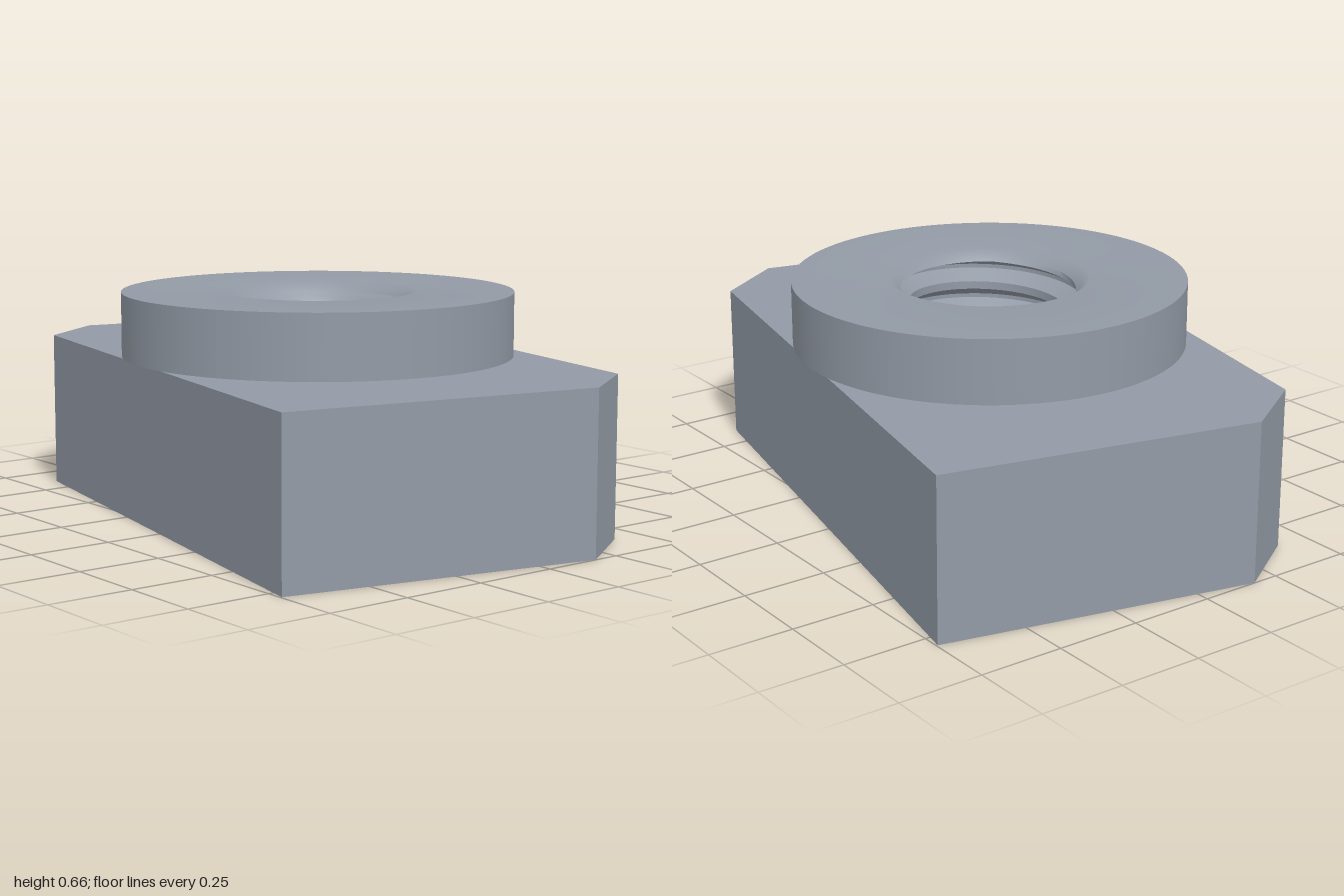
import * as THREE from 'three';
import { toCreasedNormals } from 'three/addons/utils/BufferGeometryUtils.js';

const BASE_H = 0.473, TOP = 0.663;          // plate height, overall height
const MINOR = 0.236, MAJOR = 0.285;         // thread radii
const PITCH = 0.095, MOUTH = 0.295;         // thread pitch, countersink radius
const BOSS_R = 0.583;

const steel = new THREE.MeshStandardMaterial({ color: 0x929aa5 });
steel.name = 'steelGrey';

function add(group, name, geometry) {
  const mesh = new THREE.Mesh(geometry, steel);
  mesh.name = name;
  group.add(mesh);
}

// Skewed rectangular plate with two opposite corners cut off
function plateGeometry() {
  const half = [[-0.80, -0.746], [0.853, -0.397], [1, -0.172]];
  const outline = [...half, ...half.map(([x, z]) => [-x, -z])];
  const shape = new THREE.Shape(outline.map(([x, z]) => new THREE.Vector2(x, -z)));
  const hole = new THREE.Path();
  hole.absarc(0, 0, MOUTH, 0, Math.PI * 2, true);
  shape.holes.push(hole);
  const g = new THREE.ExtrudeGeometry(shape, { depth: BASE_H, bevelEnabled: false, curveSegments: 48 });
  return g.rotateX(-Math.PI / 2);
}

const lathe = (points) =>
  new THREE.LatheGeometry(points.map(([r, y]) => new THREE.Vector2(r, y)), 96);

// Trapezoid thread profile: crest flat, flank, root flat, flank
function threadRadius(f) {
  const d = Math.abs(f - 0.5) * 2;          // 0 at root centre, 1 at crest centre
  const t = THREE.MathUtils.clamp((d - 0.125) / 0.625, 0, 1);
  return MAJOR + (MINOR - MAJOR) * t;
}

// Right-handed internal thread, opened out by a countersink at each end
function threadGeometry() {
  const SEG = 72;
  const stops = [0, 0.125, 0.28, 0.4375, 0.5625, 0.72, 0.875];
  const rows = [];
  for (let k = -2; k * PITCH < TOP + PITCH; k++) for (const s of stops) rows.push([k, s]);

  const point = ([k, s], i) => {
    const a = (i / SEG) * Math.PI * 2;
    const y = THREE.MathUtils.clamp((k + s + i / SEG) * PITCH, 0, TOP);
    const r = Math.max(threadRadius(s), MOUTH - y, MOUTH + 0.004 - (TOP - y));
    return new THREE.Vector3(r * Math.cos(a), y, -r * Math.sin(a));
  };

  const pos = [];
  const triangle = (a, b, c) => {
    const area = b.clone().sub(a).cross(c.clone().sub(a)).length();
    if (area > 1e-8) for (const p of [a, b, c]) pos.push(p.x, p.y, p.z);
  };
  for (let j = 0; j < rows.length - 1; j++) {
    for (let i = 0; i < SEG; i++) {
      const a = point(rows[j], i), b = point(rows[j], i + 1);
      const c = point(rows[j + 1], i + 1), d = point(rows[j + 1], i);
      triangle(a, c, b);
      triangle(a, d, c);
    }
  }
  const g = new THREE.BufferGeometry();
  g.setAttribute('position', new THREE.Float32BufferAttribute(pos, 3));
  return toCreasedNormals(g, 0.5);
}

export function createModel() {
  const nut = new THREE.Group();
  nut.name = 'slotNut';

  add(nut, 'basePlate', plateGeometry());

  // Round boss, slightly overhanging the long sides of the plate
  const boss = new THREE.Group();
  boss.name = 'boss';
  add(boss, 'bossUnderside', lathe([[0.5, BASE_H], [BOSS_R, BASE_H]]));
  add(boss, 'bossWall', lathe([[BOSS_R, BASE_H], [BOSS_R, TOP]]));
  // Top face blends softly into the countersink
  add(boss, 'bossTop', lathe([[BOSS_R, TOP], [MOUTH, TOP], [0.262, TOP - 0.033]]));
  nut.add(boss);

  add(nut, 'threadedHole', threadGeometry());
  return nut;
}
